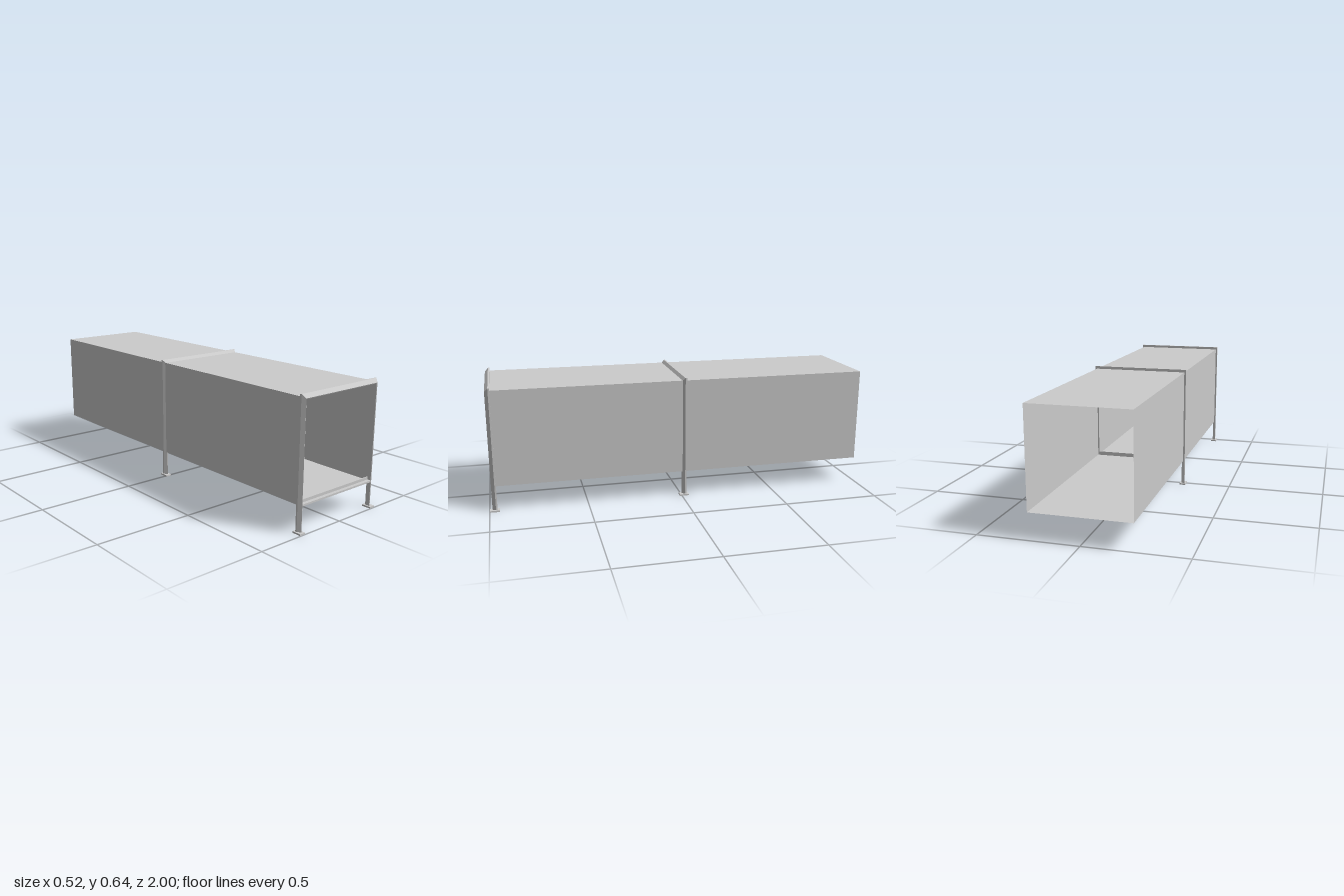
import * as THREE from 'three';

const grey = new THREE.MeshStandardMaterial({ color: 0xcccccc, flatShading: true, side: THREE.DoubleSide });

function box(name, x0, x1, y0, y1, z0, z1) {
  const mesh = new THREE.Mesh(new THREE.BoxGeometry(x1 - x0, y1 - y0, z1 - z0), grey);
  mesh.position.set((x0 + x1) / 2, (y0 + y1) / 2, (z0 + z1) / 2);
  mesh.name = name;
  return mesh;
}

// Bevelled bar profile: [distance inward from the outer edge, z]
const profile = [[0, -0.013], [0, -0.005], [0.018, 0.012], [0.022, 0.01], [0.022, -0.013]];

// Sweep the profile up one post, across the top and down the other, with mitred corners
function archGeometry(halfWidth, bottom, top) {
  const sections = [[-1, 0], [-1, 1], [1, 1], [1, 0]].map(([side, atTop]) =>
    profile.map(([d, z]) => [side * (halfWidth - d * 0.72), atTop ? top - d : bottom, z]));
  const positions = [];
  const n = profile.length;
  for (let s = 0; s < 3; s++) {
    for (let i = 0; i < n; i++) {
      const j = (i + 1) % n;
      const a = sections[s][i], b = sections[s][j], c = sections[s + 1][j], d = sections[s + 1][i];
      positions.push(...a, ...b, ...c, ...a, ...c, ...d);
    }
  }
  const geometry = new THREE.BufferGeometry();
  geometry.setAttribute('position', new THREE.Float32BufferAttribute(positions, 3));
  geometry.computeVertexNormals();
  return geometry;
}

function createFrame(z) {
  const frame = new THREE.Group();
  frame.name = 'supportFrame';
  const arch = new THREE.Mesh(archGeometry(0.255, 0.006, 0.64), grey);
  arch.name = 'postsAndTopBeam';
  frame.add(arch);
  // Stepped cross bar under the floor
  frame.add(box('crossBarLower', -0.24, 0.24, 0.13, 0.139, -0.013, 0.01));
  frame.add(box('crossBarLip', -0.24, 0.24, 0.139, 0.153, -0.013, -0.008));
  for (const side of [-1, 1]) {
    const x = side * 0.246;
    frame.add(box(side > 0 ? 'leftFoot' : 'rightFoot', x - 0.016, x + 0.016, 0, 0.008, -0.024, 0.024));
  }
  frame.position.z = z;
  return frame;
}

// One thin duct wall
function panel(name, width, length, x, y, z, turn) {
  const geometry = new THREE.PlaneGeometry(width, length).rotateX(-Math.PI / 2).rotateZ(turn);
  const mesh = new THREE.Mesh(geometry, grey);
  mesh.position.set(x, y, z);
  mesh.name = name;
  return mesh;
}

export function createModel() {
  const model = new THREE.Group();
  model.name = 'framedDuct';

  // Square duct, open at both ends
  const duct = new THREE.Group();
  duct.name = 'duct';
  const front = 0.965, back = -1, bottom = 0.133, top = 0.626, half = 0.246;
  const length = front - back, height = top - bottom;
  const midZ = (front + back) / 2, midY = (top + bottom) / 2;
  duct.add(panel('roof', half * 2, length, 0, top, midZ, 0));
  duct.add(panel('floor', half * 2, length, 0, bottom, midZ, Math.PI));
  duct.add(panel('leftWall', height, length, half, midY, midZ, -Math.PI / 2));
  duct.add(panel('rightWall', height, length, -half, midY, midZ, Math.PI / 2));
  model.add(duct);

  // Front and middle supports
  for (const z of [0.974, -0.013]) model.add(createFrame(z));
  return model;
}
